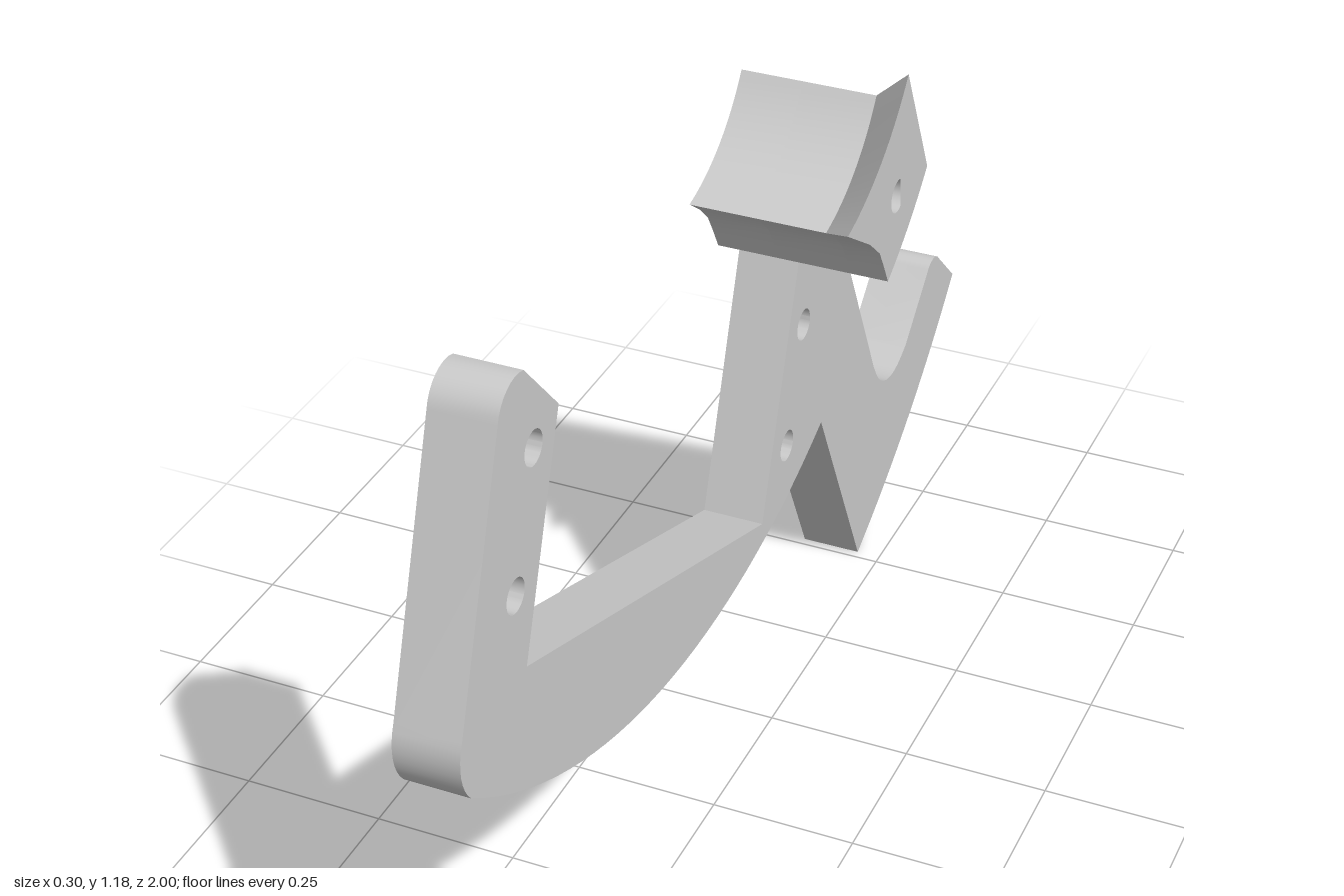
import * as THREE from 'three';
import { toCreasedNormals } from 'three/addons/utils/BufferGeometryUtils.js';

// Points on the circle through a, m and b, all given as [z, y]
function arc(a, m, b, n = 16) {
  const [ax, ay] = a, [bx, by] = m, [cx, cy] = b;
  const d = 2 * (ax * (by - cy) + bx * (cy - ay) + cx * (ay - by));
  const A = ax * ax + ay * ay, B = bx * bx + by * by, C = cx * cx + cy * cy;
  const ox = (A * (by - cy) + B * (cy - ay) + C * (ay - by)) / d;
  const oy = (A * (cx - bx) + B * (ax - cx) + C * (bx - ax)) / d;
  const r = Math.hypot(ax - ox, ay - oy);
  const s = Math.atan2(ay - oy, ax - ox);
  let sweep = Math.atan2(cy - oy, cx - ox) - s;
  sweep = Math.atan2(Math.sin(sweep), Math.cos(sweep));
  return Array.from({ length: n + 1 }, (_, i) => {
    const t = s + sweep * i / n;
    return [ox + r * Math.cos(t), oy + r * Math.sin(t)];
  });
}

function spline(points, n = 16) {
  const curve = new THREE.SplineCurve(points.map(p => new THREE.Vector2(...p)));
  return curve.getPoints(n).map(p => [p.x, p.y]);
}

// Side profile in [z, y], extruded along x from x0 to x1
function extrude(points, holes, x0, x1) {
  const shape = new THREE.Shape(points.map(([z, y]) => new THREE.Vector2(-z, y)));
  for (const [z, y] of holes) {
    shape.holes.push(new THREE.Path().absarc(-z, y, 0.028, 0, Math.PI * 2, true));
  }
  const g = new THREE.ExtrudeGeometry(shape, { depth: x1 - x0, bevelEnabled: false, curveSegments: 12 });
  return g.rotateY(Math.PI / 2).translate(x0, 0, 0);
}

export function createModel() {
  const group = new THREE.Group();
  const material = new THREE.MeshStandardMaterial({ color: 0xcccccc });
  const add = (name, geometry) => {
    const mesh = new THREE.Mesh(toCreasedNormals(geometry, 0.5), material);
    mesh.name = name;
    group.add(mesh);
  };

  // Concave cradle and the undercut below it, shared by plate and block
  const low = [-0.02, 0.98], high = [-0.23, 1.12];
  const cradle = arc(high, [-0.139, 1.029], low);
  const undercut = [[-0.06, 0.95], [-0.09, 0.92], [-0.11, 0.885], [-0.13, 0.847]];
  const cradleHole = [-0.165, 0.985];

  // Flat side plate: front arm, bowed bar, upright and rear hook
  const plate = [
    ...cradle, ...undercut,
    [-0.22, 0.803], [-0.06, 0.364], [0.794, 0.674], [0.66, 1.04],
    ...arc([0.757, 1.152], [0.805, 1.15], [0.838, 1.11], 8),
    ...arc([0.99, 0.684], [1, 0.626], [0.976, 0.572], 8),
    ...arc([0.97, 0.568], [0.195, 0.298], [-0.324, 0.41], 32),
    ...arc([-0.516, 0.002], [-0.778, 0.153], [-1, 0.342]),
    ...arc([-0.917, 0.422], [-0.885, 0.438], [-0.853, 0.422], 8),
    ...spline([[-0.746, 0.326], [-0.71, 0.309], [-0.676, 0.303], [-0.64, 0.31],
      [-0.607, 0.333], [-0.58, 0.374]]),
  ];
  add('sidePlate', extrude(plate,
    [[0.74, 1.015], [0.815, 0.813], cradleHole, [-0.24, 0.658], [-0.168, 0.457]], -0.15, -0.043));

  // Block carrying the cradle sideways from the plate
  const block = [...cradle, ...undercut, ...arc([-0.13, 0.847], [-0.222, 0.905], [-0.3, 0.972]).slice(1)];
  add('cradleBlock', extrude(block, [cradleHole], -0.043, 0.083));

  // Flared lip: the outer end of the cradle surface rises forward and up
  const lip = extrude(block, [cradleHole], 0.083, 0.147);
  const pos = lip.attributes.position;
  const dz = high[0] - low[0], dy = high[1] - low[1], len = Math.hypot(dz, dy);
  for (let i = 0; i < pos.count; i++) {
    const z = pos.getZ(i) - low[0], y = pos.getY(i) - low[1];
    const depth = (z * dy - y * dz) / len;
    if (pos.getX(i) < 0.1 || depth < -0.035) continue;
    const t = (z * dz + y * dy) / (len * len);
    pos.setZ(i, pos.getZ(i) + THREE.MathUtils.lerp(0.07, 0.03, t));
    pos.setY(i, pos.getY(i) + THREE.MathUtils.lerp(0.045, 0.064, t));
  }
  add('cradleLip', lip);

  return group;
}
